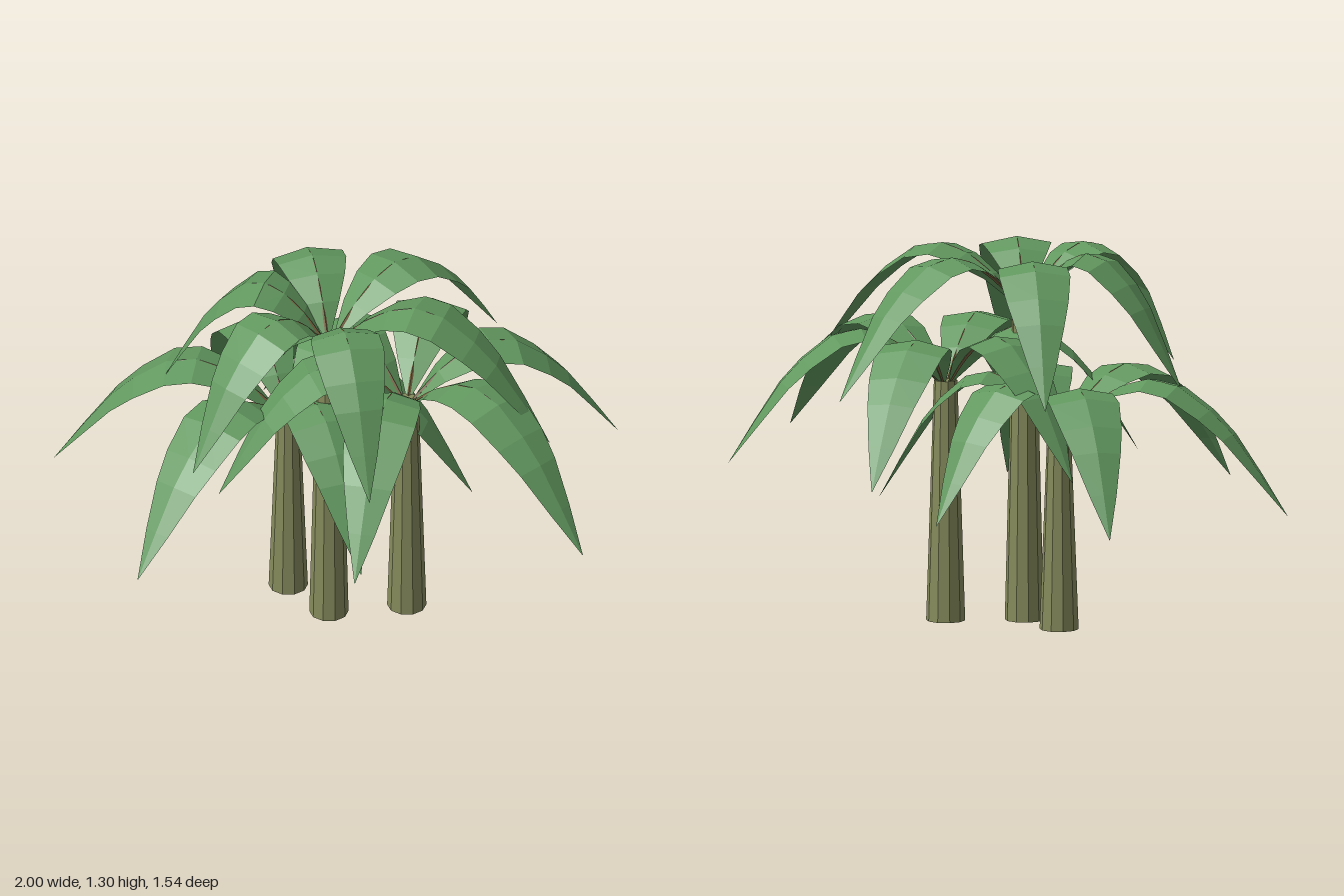
import * as THREE from 'three';

const leafMat = new THREE.MeshStandardMaterial({ color: 0x62985f, flatShading: true, side: THREE.DoubleSide });
leafMat.name = 'leafGreen';
const trunkMat = new THREE.MeshStandardMaterial({ color: 0x868b5c, flatShading: true });
trunkMat.name = 'trunkOlive';
const stemMat = new THREE.MeshStandardMaterial({ color: 0x75613f, flatShading: true });
stemMat.name = 'stemBrown';

// leaf stations: distance along leaf (0..1), height above trunk top, half width
const STATIONS = [
  [0.04, 0.0, 0.012], [0.15, 0.095, 0.062], [0.27, 0.16, 0.1], [0.39, 0.19, 0.121], [0.52, 0.17, 0.124],
  [0.66, 0.09, 0.108], [0.76, 0.01, 0.086], [0.88, -0.125, 0.048], [1, -0.268, 0.001],
];

// trunk foot position, trunk height and the leaf tips as [x, z]
const PALMS = [
  { x: 0, z: 0.105, h: 1.115,
    tips: [[0.8, 0.105], [0.4, -0.57], [-0.33, -0.46], [-0.6, 0.1], [-0.32, 0.66], [0.32, 0.66]] },
  { x: -0.185, z: -0.015, h: 0.705,
    tips: [[0.45, -0.12], [0.03, -0.58], [-0.63, -0.585], [-1, 0.1], [-0.49, 0.76], [0.24, 0.5]] },
  { x: 0.245, z: -0.015, h: 0.845,
    tips: [[0.88, -0.44], [0.19, -0.77], [-0.37, -0.32], [-0.32, 0.36], [0.3, 0.77], [1, 0.36]] },
];

// creased blade along +x: three points per station, edges dropped along the blade's normal
function leafGeometry(length) {
  const pos = [], index = [];
  STATIONS.forEach(([t, y, w], i) => {
    const a = STATIONS[Math.max(i - 1, 0)], b = STATIONS[Math.min(i + 1, STATIONS.length - 1)];
    const n = new THREE.Vector2(a[1] - b[1], (b[0] - a[0]) * length).normalize().multiplyScalar(w * 0.2);
    const x = t * length;
    pos.push(x - n.x, y - n.y, -w, x, y, 0, x - n.x, y - n.y, w);
    if (i === 0) return;
    for (let k = 0; k < 2; k++) {
      const p = (i - 1) * 3 + k, q = i * 3 + k;
      index.push(p, p + 1, q, p + 1, q + 1, q);
    }
  });
  const g = new THREE.BufferGeometry();
  g.setAttribute('position', new THREE.Float32BufferAttribute(pos, 3));
  g.setIndex(index);
  g.computeVertexNormals();
  return g;
}

// thin rib under the inner half of the blade
function stemGeometry(length) {
  const pts = STATIONS.slice(0, 5).map(([t, y]) => new THREE.Vector3(t * length, y - 0.008, 0));
  pts[0].set(0.01, -0.02, 0);
  return new THREE.TubeGeometry(new THREE.CatmullRomCurve3(pts), 8, 0.006, 4);
}

function makePalm({ x, z, h, tips }) {
  const palm = new THREE.Group();
  palm.name = 'palm';
  palm.position.set(x, 0, z);

  // tapered ten-sided trunk
  const trunk = new THREE.Mesh(new THREE.CylinderGeometry(0.041, 0.068, h, 10), trunkMat);
  trunk.name = 'trunk';
  trunk.position.y = h / 2;
  palm.add(trunk);

  // crown of arching leaves
  for (const [tx, tz] of tips) {
    const dx = tx - x, dz = tz - z, length = Math.hypot(dx, dz);
    const frond = new THREE.Group();
    frond.name = 'frond';
    frond.position.y = h;
    frond.rotation.y = Math.atan2(-dz, dx);
    const leaf = new THREE.Mesh(leafGeometry(length), leafMat);
    leaf.name = 'leaf';
    const stem = new THREE.Mesh(stemGeometry(length), stemMat);
    stem.name = 'stem';
    frond.add(leaf, stem);
    palm.add(frond);
  }
  return palm;
}

export function createModel() {
  const model = new THREE.Group();
  model.name = 'palmCluster';
  PALMS.forEach((p) => model.add(makePalm(p)));
  return model;
}
